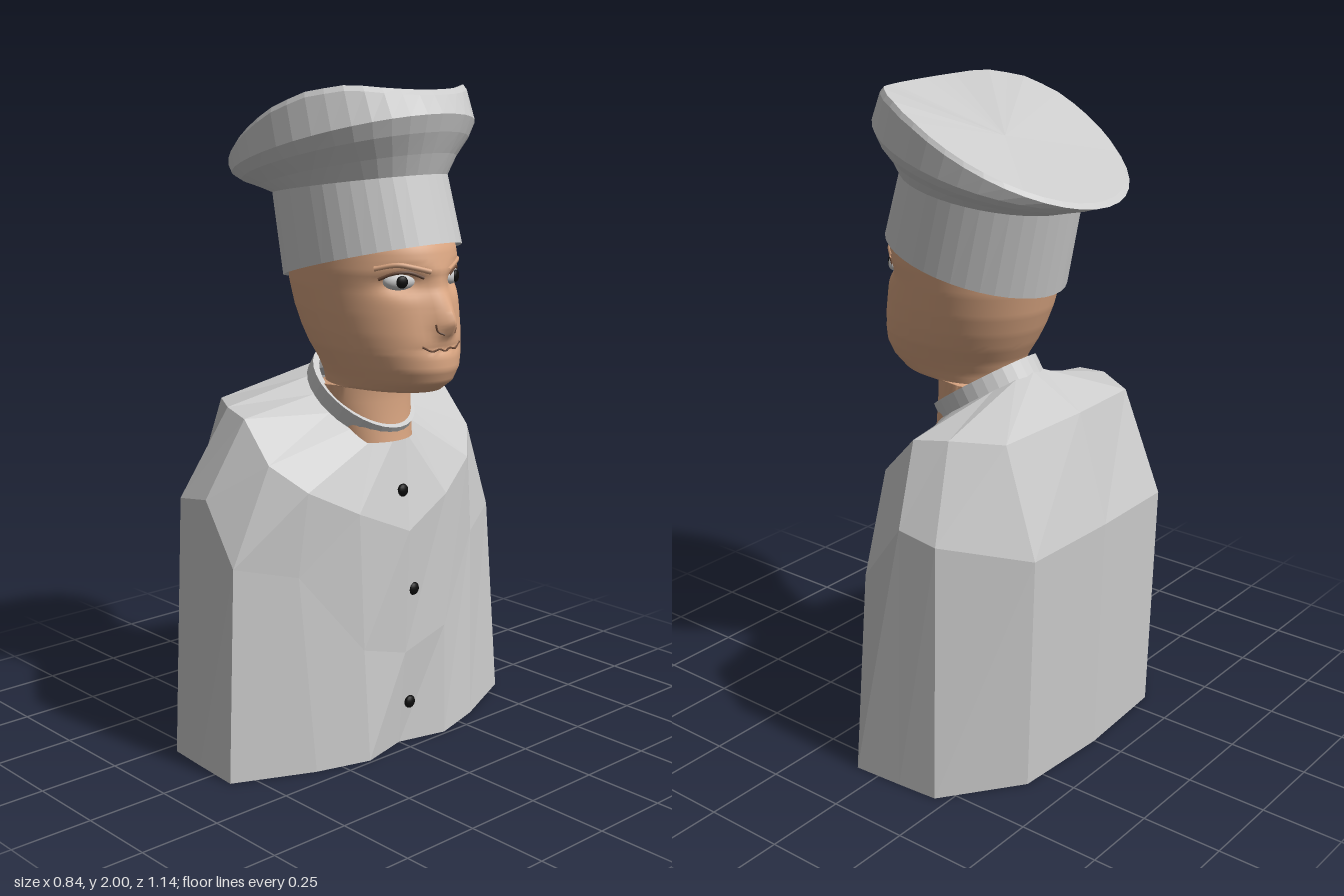
import * as THREE from 'three';
import { toCreasedNormals } from 'three/addons/utils/BufferGeometryUtils.js';

const grey = new THREE.MeshStandardMaterial({ color: 0xcccccc, side: THREE.DoubleSide, flatShading: true });
const skin = new THREE.MeshStandardMaterial({ color: 0xd9a581, side: THREE.DoubleSide });
const crease = new THREE.MeshStandardMaterial({ color: 0x6b4a38 });
const black = new THREE.MeshStandardMaterial({ color: 0x0c0c0c });
const eyeWhite = new THREE.MeshStandardMaterial({ color: 0xcccccc });

// Skin between closed loops of [x, y, z] points, bottom loop first
function loft(loops) {
  const n = loops[0].length, index = [];
  for (let i = 0; i < loops.length - 1; i++) {
    for (let j = 0; j < n; j++) {
      const k = (j + 1) % n, a = i * n + j, b = i * n + k;
      index.push(a, a + n, b, b, a + n, b + n);
    }
  }
  const g = new THREE.BufferGeometry();
  g.setAttribute('position', new THREE.Float32BufferAttribute(loops.flat(2), 3));
  g.setIndex(index);
  g.computeVertexNormals();
  return g;
}

const loop = (n, fn) => Array.from({ length: n }, (_, j) => fn((j / n) * Math.PI * 2));
// Half loop from front centre to back centre, completed by mirroring in z
const mirrored = half => [...half, ...half.slice(1, -1).reverse().map(([x, y, z]) => [x, y, -z])];
const gauss = (v, w) => Math.exp(-((v / w) ** 2));

// Piecewise linear lookup in rows [key, ...values]
function sample(rows, t) {
  let i = 0;
  while (i < rows.length - 2 && t > rows[i + 1][0]) i++;
  const a = rows[i], b = rows[i + 1];
  const f = THREE.MathUtils.clamp((t - a[0]) / (b[0] - a[0]), 0, 1);
  return a.map((v, k) => v + (b[k] - v) * f);
}

// Point on the sloping neckline: r scales the ellipse, h lifts along its axis
const neckPoint = (a, r, h) => [
  0.01 + 0.159 * r * Math.cos(a) + 0.55 * h,
  1.065 - 0.105 * r * Math.cos(a) + 0.835 * h,
  0.15 * r * Math.sin(a),
];

function torsoGeometry() {
  const hem = [[0.20, 0, 0], [0.24, 0, 0.16], [0.19, 0, 0.33], [0.08, 0, 0.57],
    [-0.08, 0, 0.56], [-0.21, 0, 0.55], [-0.38, 0, 0.32], [-0.40, 0, 0]];
  const chest = [[0.225, 0.30, 0], [0.225, 0.35, 0.17], [0.15, 0.6, 0.36], [0.06, 0.64, 0.53],
    [-0.07, 0.82, 0.525], [-0.20, 0.80, 0.52], [-0.40, 0.74, 0.32], [-0.42, 0.75, 0]];
  const shoulder = [[0.24, 0.69, 0], [0.215, 0.77, 0.18], [0.16, 0.85, 0.33], [0.08, 0.93, 0.41],
    [-0.03, 1.05, 0.41], [-0.14, 1.065, 0.385], [-0.28, 1.06, 0.30], [-0.32, 1.08, 0]];
  const neckline = Array.from({ length: 8 }, (_, k) => neckPoint((k * Math.PI) / 7, 1, 0));
  return loft([hem, chest, shoulder, neckline].map(mirrored));
}

function collarGeometry() {
  const section = [[0.9, -0.02], [1, -0.01], [1, 0.05], [0.88, 0.05], [0.86, -0.02]];
  return loft(section.map(([r, h]) => loop(32, a => neckPoint(a, r, h))));
}

// Neck, jaw and face: [y, back x, front x, half width]
const headRows = [
  [0.96, 0.0, 0.19, 0.12], [1.08, -0.06, 0.175, 0.14], [1.125, -0.08, 0.18, 0.14],
  [1.13, -0.08, 0.33, 0.14], [1.16, -0.085, 0.372, 0.15], [1.20, -0.10, 0.39, 0.168],
  [1.25, -0.13, 0.388, 0.19], [1.30, -0.155, 0.38, 0.203], [1.36, -0.178, 0.368, 0.214],
  [1.43, -0.195, 0.355, 0.222], [1.48, -0.20, 0.362, 0.225], [1.54, -0.20, 0.345, 0.225],
  [1.62, -0.20, 0.30, 0.215],
];
const noseRows = [[1.285, 0], [1.305, 0.022], [1.335, 0.048], [1.36, 0.042], [1.44, 0.008], [1.47, 0]];

function facePoint(y, a) {
  const [, back, front, width] = sample(headRows, y);
  const mid = back + (front - back) * 0.45;
  const z = width * Math.sin(a), c = Math.cos(a);
  let x = mid + c * (c > 0 ? front - mid : mid - back);
  if (c > 0) {
    x += sample(noseRows, y)[1] * gauss(z, 0.035);
    x -= 0.035 * gauss(Math.abs(z) - 0.1, 0.055) * gauss(y - 1.452, 0.032);
    x -= 0.010 * gauss(z, 0.08) * gauss(y - 1.26, 0.012);
  }
  return [x, y, z];
}

function headGeometry() {
  const heights = headRows.map(r => r[0]);
  for (let y = 1.14; y < 1.6; y += 0.01) heights.push(y);
  heights.sort((p, q) => p - q);
  return toCreasedNormals(loft([...new Set(heights)].map(y => loop(72, a => facePoint(y, a)))), 0.9);
}

// Toque: each ring gives back x, front x, half width, back y, front y
function hatGeometry() {
  const crown = [[-0.39, 1.72], [0.01, 1.935], [0.12, 1.98], [0.22, 2.0], [0.31, 1.985]];
  const rings = [
    [-0.205, 0.345, 0.225, 1.43, 1.56], [-0.22, 0.36, 0.24, 1.42, 1.56],
    [-0.27, 0.30, 0.235, 1.67, 1.75], [-0.31, 0.32, 0.27, 1.68, 1.81],
    [-0.36, 0.345, 0.32, 1.692, 1.87], [-0.39, 0.36, 0.345, 1.705, 1.92],
  ];
  const loops = rings.map(([b, f, w, yb, yf]) => loop(40, a => {
    const t = (Math.cos(a) + 1) / 2;
    return [b + (f - b) * t, yb + (yf - yb) * t, w * Math.sin(a)];
  }));
  const rim = (grow, drop) => loop(40, a => {
    const x = -0.04 + 0.35 * Math.cos(a);
    return [x + grow * Math.cos(a), sample(crown, x)[1] - drop, (0.335 + grow * 0.5) * Math.sin(a)];
  });
  loops.push(rim(0.015, 0.015), rim(0, 0));
  loops.push(loop(40, () => [-0.04, 1.86, 0])); // sunken middle of the crown
  return loft(loops);
}

export function createModel() {
  const model = new THREE.Group();
  const add = (name, geometry, material, parent = model) => {
    const mesh = new THREE.Mesh(geometry, material);
    mesh.name = name;
    parent.add(mesh);
    return mesh;
  };
  // Thin line following the face through [y, z] points
  const faceLine = (name, points, radius, lift, material) => {
    const path = points.map(([y, z]) => {
      const p = facePoint(y, Math.asin(z / sample(headRows, y)[3]));
      return new THREE.Vector3(p[0] + lift, y, z);
    });
    add(name, new THREE.TubeGeometry(new THREE.CatmullRomCurve3(path), 24, radius, 6), material);
  };

  add('jacket', torsoGeometry(), grey);
  add('collar', collarGeometry(), grey);
  add('head', headGeometry(), skin);
  add('hat', hatGeometry(), grey);

  // Jacket buttons
  for (const [x, y, z] of [[0.209, 0.81, 0], [0.228, 0.5, -0.03], [0.215, 0.13, -0.03]]) {
    const button = add('button', new THREE.SphereGeometry(0.02, 14, 10), black);
    button.position.set(x, y, z);
    button.scale.x = 0.6;
  }

  // Eyes, lids and brows
  for (const s of [-1, 1]) {
    const eye = new THREE.Group();
    eye.name = s > 0 ? 'rightEye' : 'leftEye';
    eye.position.set(0.292, 1.455, s * 0.1);
    eye.rotation.y = -s * 0.4;
    add('eyeball', new THREE.SphereGeometry(1, 20, 14), eyeWhite, eye).scale.set(0.025, 0.026, 0.05);
    const pupil = add('pupil', new THREE.SphereGeometry(1, 16, 12), black, eye);
    pupil.scale.set(0.008, 0.018, 0.018);
    pupil.position.x = 0.022;
    model.add(eye);
    faceLine('upperLid', [[1.465, s * 0.05], [1.481, s * 0.09], [1.479, s * 0.125], [1.462, s * 0.155]], 0.005, 0.001, crease);
    faceLine('brow', [[1.482, s * 0.035], [1.495, s * 0.08], [1.503, s * 0.12], [1.492, s * 0.165]], 0.008, -0.002, skin);
    faceLine('nostril', [[1.335, s * 0.04], [1.315, s * 0.035], [1.305, s * 0.018]], 0.003, 0, crease);
  }

  // Mouth
  faceLine('mouth', [[1.272, -0.075], [1.257, -0.045], [1.262, -0.02], [1.255, 0],
    [1.262, 0.02], [1.257, 0.045], [1.272, 0.075]], 0.003, 0, crease);

  return model;
}
